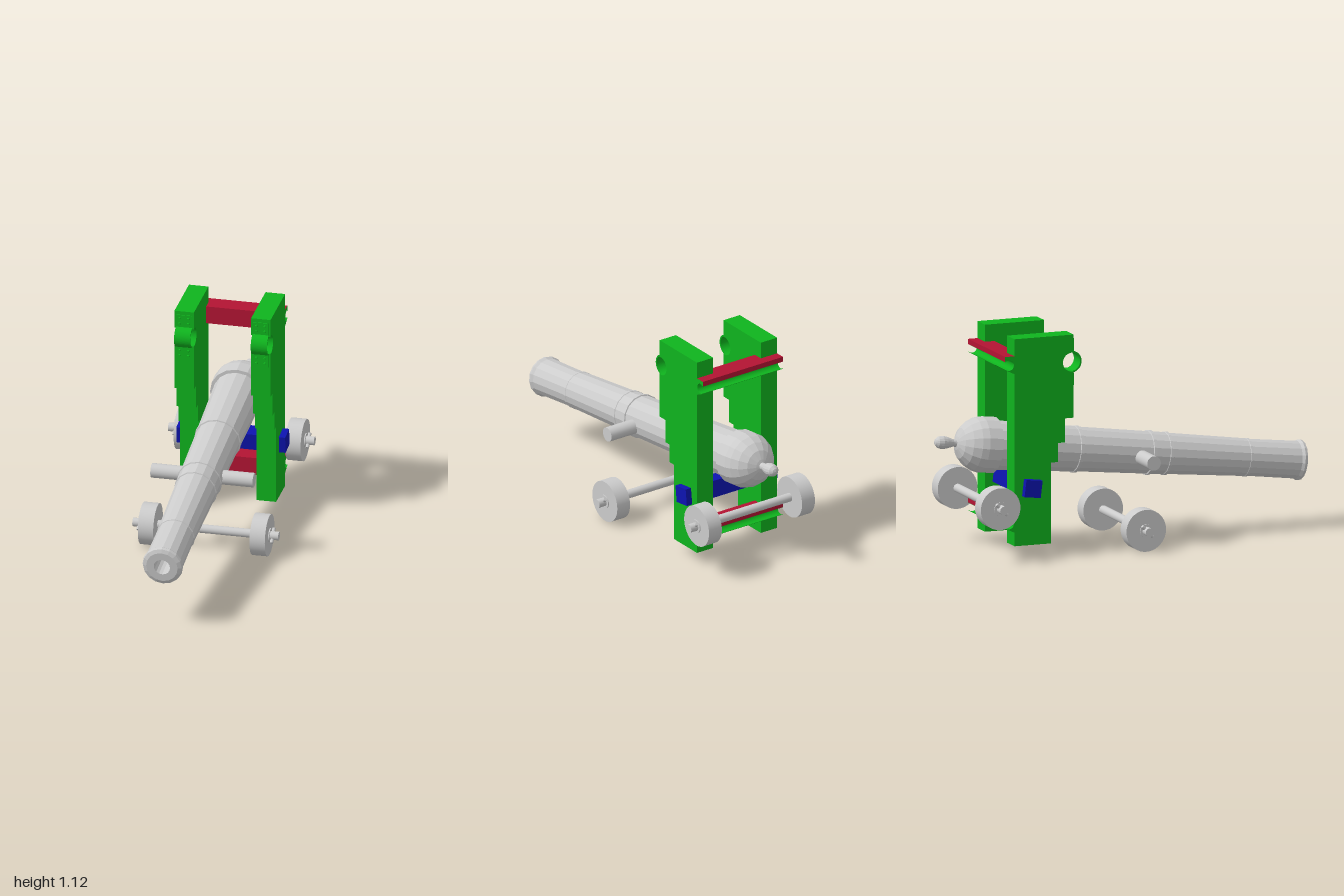
import * as THREE from 'three';

const grey = new THREE.MeshStandardMaterial({ color: 0xcccccc });
const greyFlat = new THREE.MeshStandardMaterial({ color: 0xcccccc, flatShading: true });
const green = new THREE.MeshStandardMaterial({ color: 0x0fb41e });
const red = new THREE.MeshStandardMaterial({ color: 0xb31433 });
const blue = new THREE.MeshStandardMaterial({ color: 0x0d14b0 });

function add(parent, name, geometry, material, x = 0, y = 0, z = 0) {
  const mesh = new THREE.Mesh(geometry, material);
  mesh.name = name;
  mesh.position.set(x, y, z);
  parent.add(mesh);
  return mesh;
}

// Side profile drawn as (distance backwards, height), extruded along x and centred on it
function sideExtrude(shape, width) {
  return new THREE.ExtrudeGeometry(shape, { depth: width, bevelEnabled: false, curveSegments: 20 })
    .translate(0, 0, -width / 2)
    .rotateY(Math.PI / 2);
}

// Cylinder lying along x
function rod(radius, length, sides = 32) {
  return new THREE.CylinderGeometry(radius, radius, length, sides).rotateZ(Math.PI / 2);
}

// Part of a ring between two angles
function ringShape(outer, inner, from, to) {
  const shape = new THREE.Shape();
  shape.absarc(0, 0, outer, from, to, false);
  shape.absarc(0, 0, inner, to, from, true);
  shape.closePath();
  return shape;
}

function makeBarrel() {
  const barrel = new THREE.Group();
  barrel.name = 'barrel';
  // Radius and distance from the muzzle, starting inside the bore
  const profile = [
    [0, 1.2], [0.042, 1.2], [0.042, 0], [0.081, 0], [0.1, 0.008], [0.104, 0.022], [0.096, 0.036],
    [0.094, 0.3], [0.098, 0.302], [0.098, 0.314], [0.096, 0.316],
    [0.105, 0.74], [0.11, 0.742], [0.11, 0.756], [0.107, 0.758],
    [0.109, 0.832], [0.114, 0.834], [0.114, 0.848], [0.108, 0.85],
    [0.114, 1.23], [0.12, 1.232], [0.12, 1.248], [0.116, 1.25],
    [0.126, 1.68], [0.143, 1.682], [0.143, 1.755], [0.134, 1.79], [0.112, 1.83],
    [0.078, 1.862], [0.035, 1.88], [0.019, 1.884], [0.019, 1.9], [0.03, 1.935],
    [0.034, 1.958], [0.029, 1.982], [0.015, 1.996], [0, 2],
  ].map(([r, s]) => new THREE.Vector2(r, s));
  add(barrel, 'barrelBody', new THREE.LatheGeometry(profile, 16), greyFlat);
  barrel.rotation.x = THREE.MathUtils.degToRad(-83);
  barrel.position.set(0, 0.335, 0.988);
  return barrel;
}

function makeWheelset(name, y, z) {
  const set = new THREE.Group();
  set.name = name;
  add(set, 'axle', rod(0.022, 0.75), grey);
  for (const side of [-1, 1]) {
    add(set, 'wheel', rod(0.107, 0.079, 40), grey, side * 0.287);
    add(set, 'hubCollar', rod(0.035, 0.008), grey, side * 0.328);
    const pin = add(set, 'linchpin', new THREE.CylinderGeometry(0.009, 0.009, 0.08, 12), grey, side * 0.343);
    pin.rotation.x = -Math.PI / 4;
  }
  set.position.set(0, y, z);
  return set;
}

function makeCheek(side) {
  const cheek = new THREE.Group();
  cheek.name = side > 0 ? 'leftCheek' : 'rightCheek';

  // Stepped plank with a round trunnion seat in its front edge
  const shape = new THREE.Shape();
  shape.moveTo(0.665, 0.067);
  shape.lineTo(0.665, 1.125);
  shape.lineTo(0.345, 1.125);
  shape.absarc(0.355, 0.985, 0.048, 1.78, -1.78, true);
  for (const [u, y] of [[0.345, 0.7], [0.393, 0.7], [0.393, 0.577], [0.43, 0.577],
    [0.43, 0.48], [0.468, 0.48], [0.468, 0.067]]) shape.lineTo(u, y);
  shape.closePath();
  add(cheek, 'cheekPlank', sideExtrude(shape, 0.1), green);

  // Strap over the seat, with its riveted plates
  const strap = ringShape(0.056, 0.048, 1.7, Math.PI * 2 - 1.7);
  add(cheek, 'trunnionStrap', sideExtrude(strap, 0.083), green, 0, 0.985, -0.355);
  for (const [y, h] of [[1.073, 0.065], [0.897, 0.065]]) {
    add(cheek, 'strapPlate', new THREE.BoxGeometry(0.083, h, 0.005), green, 0, y, -0.3435);
    for (const dx of [-0.022, 0.022]) for (const dy of [-0.014, 0.014]) {
      const rivet = new THREE.CylinderGeometry(0.005, 0.007, 0.006, 12).rotateX(Math.PI / 2);
      add(cheek, 'rivet', rivet, green, dx, y + dy, -0.339);
    }
  }
  cheek.position.x = side * 0.197;
  return cheek;
}

// Cross beam with a round axle groove along its rear face
function makeTransom(name, y) {
  const transom = new THREE.Group();
  transom.name = name;
  const a = Math.acos(0.02 / 0.028);
  const shape = new THREE.Shape();
  shape.moveTo(0.715, -0.046);
  shape.absarc(0.695, 0, 0.028, -a, a, true);
  shape.lineTo(0.715, 0.046);
  shape.lineTo(0.664, 0.046);
  shape.lineTo(0.664, -0.046);
  shape.closePath();
  add(transom, 'axleBed', sideExtrude(shape, 0.494), [green, red]);
  add(transom, 'crossBeam', new THREE.BoxGeometry(0.294, 0.092, 0.051), red, 0, 0, -0.6395);
  const lining = ringShape(0.028, 0.0265, a, Math.PI * 2 - a);
  add(transom, 'grooveLining', sideExtrude(lining, 0.495), green, 0, 0, -0.695);
  transom.position.y = y;
  return transom;
}

export function createModel() {
  const model = new THREE.Group();
  model.name = 'cannon';

  model.add(makeBarrel());
  add(model, 'trunnions', rod(0.037, 0.526, 24), grey, 0, 0.436, 0.083);

  model.add(makeWheelset('frontWheels', 0.109, 0.015));
  model.add(makeWheelset('rearWheels', 0.28, -0.772));

  for (const side of [-1, 1]) model.add(makeCheek(side));
  model.add(makeTransom('upperTransom', 0.992));
  model.add(makeTransom('lowerTransom', 0.182));

  // Breech support bar, tilted with the barrel
  const bar = add(model, 'supportBar', new THREE.BoxGeometry(0.56, 0.088, 0.088), blue, 0, 0.359, -0.575);
  bar.rotation.x = THREE.MathUtils.degToRad(7);

  return model;
}
